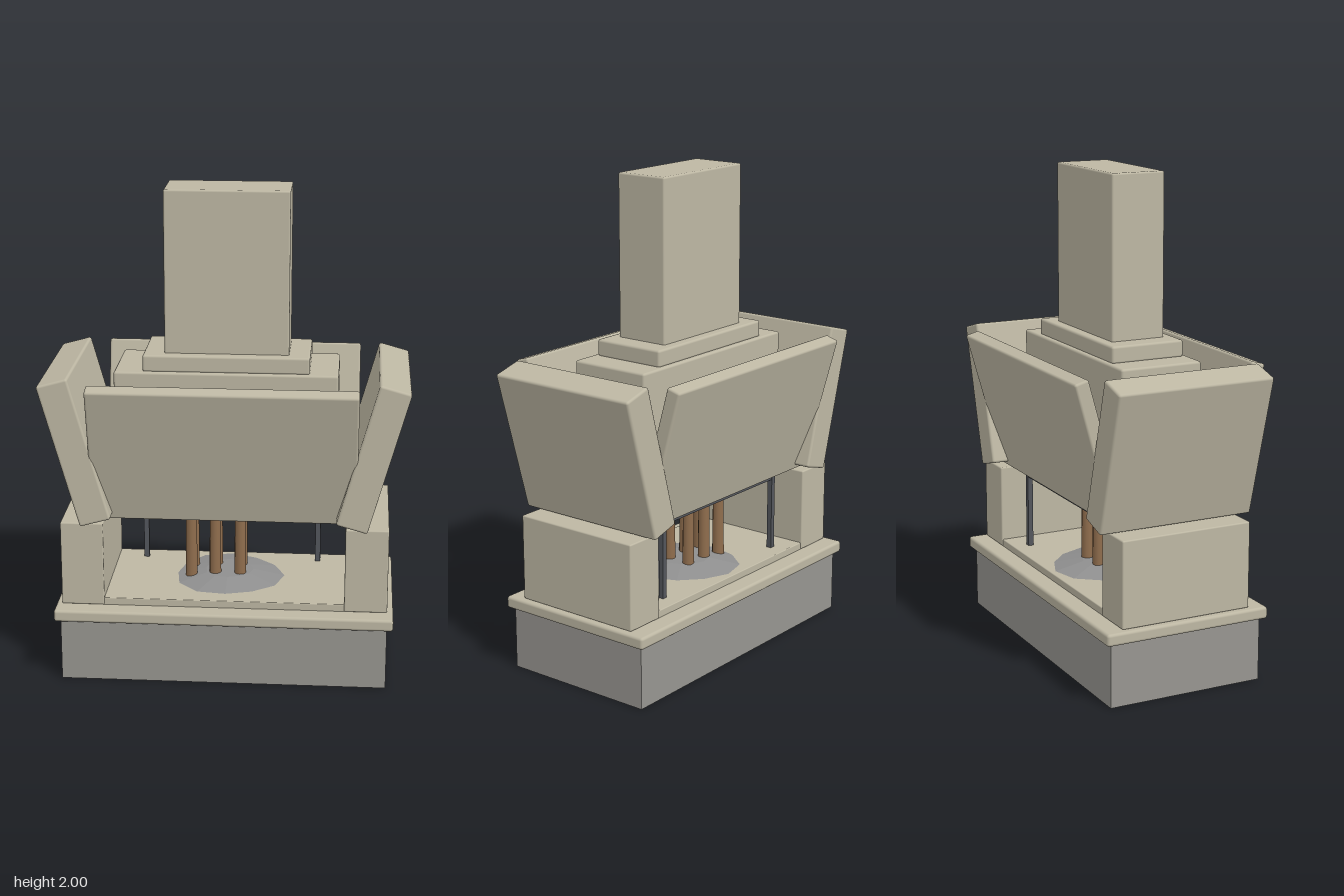
import * as THREE from 'three';
import { RoundedBoxGeometry } from 'three/addons/geometries/RoundedBoxGeometry.js';

export function createModel() {
  const group = new THREE.Group();
  const mat = (color) => new THREE.MeshStandardMaterial({ color });
  const stone = mat(0xbdb7a3), plinth = mat(0x979590), wood = mat(0x8f6d4d);
  const metal = mat(0x53565c), ash = mat(0x8f8f8f);
  ash.flatShading = true;

  const add = (name, geometry, material, x, y, z) => {
    const mesh = new THREE.Mesh(geometry, material);
    mesh.name = name;
    mesh.position.set(x, y, z);
    group.add(mesh);
    return mesh;
  };
  // Softly bevelled stone block
  const block = (name, w, h, d, x, y, z, r = 0.01) =>
    add(name, new RoundedBoxGeometry(w, h, d, 2, r), stone, x, y, z);

  // Plinth, ledge and hearth floor
  add('plinth', new THREE.BoxGeometry(1.33, 0.26, 0.66), plinth, 0, 0.13, 0);
  block('ledge', 1.38, 0.05, 0.71, 0, 0.285, 0, 0.012);
  block('hearthFloor', 1.0, 0.04, 0.55, 0, 0.32, 0, 0.004);

  // Hood core, collar and chimney
  block('hoodCore', 0.9, 0.6, 0.35, 0, 0.975, 0);
  block('collar', 0.67, 0.07, 0.314, 0, 1.306, 0);
  block('chimney', 0.5, 0.68, 0.23, 0, 1.66, 0, 0.008);

  for (const s of [1, -1]) {
    // Side pillar and the leaning slab above it
    block('pillar', 0.175, 0.355, 0.56, s * 0.578, 0.488, 0, 0.006);
    block('sideSlab', 0.13, 0.605, 0.665, s * 0.595, 0.977, 0).rotation.z = -s * 0.272;
    // Leaning front and back slabs
    block('hoodSlab', 1.07, 0.6, 0.062, 0, 0.975, s * 0.305).rotation.x = s * 0.272;
    // Fire screen post
    add('screenPost', new THREE.BoxGeometry(0.022, 0.326, 0.022), metal, s * 0.37, 0.5, -0.2);
  }
  add('screenBar', new THREE.BoxGeometry(0.76, 0.016, 0.018), metal, 0, 0.656, -0.2);

  // Shallow ash mound with a slightly uneven rim
  const mound = new THREE.CylinderGeometry(0.1, 0.23, 0.026, 12);
  const p = mound.attributes.position;
  for (let i = 0; i < p.count; i++) {
    const a = Math.atan2(p.getZ(i), p.getX(i));
    const k = 1 + 0.05 * Math.sin(a * 3 + 1);
    p.setX(i, p.getX(i) * k);
    p.setZ(i, p.getZ(i) * k);
  }
  mound.computeVertexNormals();
  add('ashMound', mound, ash, 0, 0.352, -0.02);

  // Two rows of upright logs
  const log = new THREE.CylinderGeometry(0.022, 0.025, 0.34, 12);
  for (const x of [-0.155, -0.055, 0.05])
    for (const z of [-0.08, 0.02]) add('log', log, wood, x, 0.515, z);

  return group;
}
